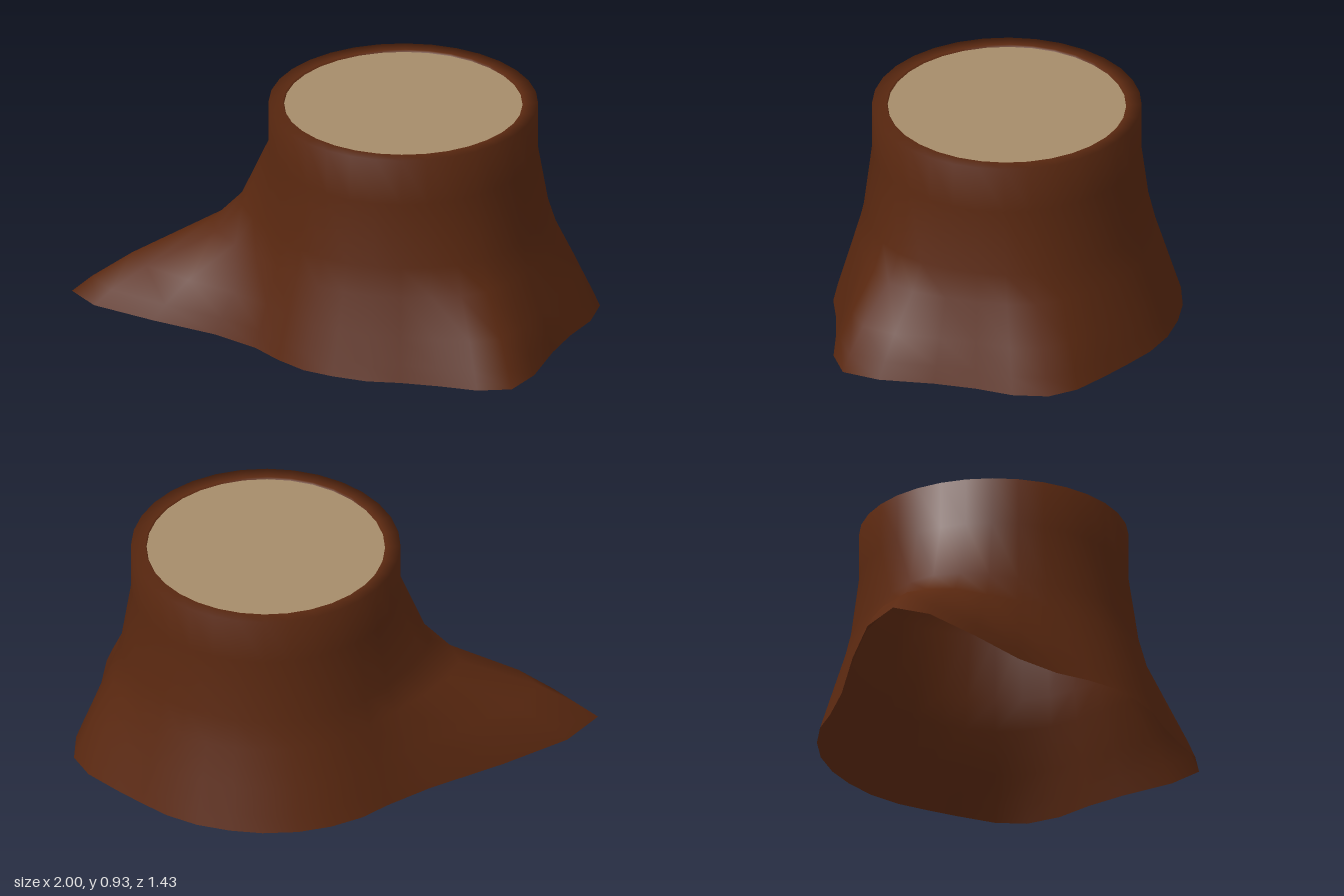
import * as THREE from 'three';

const CENTRE_X = 0.2, RADIUS = 0.55, HEIGHT = 0.93;

// Ground outline as x, z pairs: clockwise from the back, evenly spread around the trunk
const OUTLINE = [
  [0.2, -0.715], [0.34, -0.7], [0.47, -0.66], [0.6, -0.615], [0.75, -0.555], [0.85, -0.47], [0.9, -0.33], [0.91, -0.17],
  [0.94, 0], [1, 0.22], [1, 0.38], [0.89, 0.47], [0.74, 0.525], [0.59, 0.59], [0.47, 0.655], [0.33, 0.695],
  [0.2, 0.715], [0.06, 0.695], [-0.08, 0.655], [-0.29, 0.645], [-0.57, 0.68], [-0.85, 0.7], [-1, 0.64], [-0.95, 0.44],
  [-0.78, 0.18], [-0.57, -0.1], [-0.46, -0.28], [-0.4, -0.4], [-0.31, -0.51], [-0.2, -0.6], [-0.07, -0.665], [0.06, -0.7],
];

// Cross-sections from the inner lip down: height, trunk radius,
// spread toward the ground outline on plain sides, and on roots
const RINGS = [
  [0.92, 0.485, 0, 0],
  [HEIGHT, 0.492, 0, 0],
  [HEIGHT, RADIUS, 0, 0],
  [0.73, RADIUS, 0, 0],
  [0.46, RADIUS, 0.21, 0.15],
  [0.34, RADIUS, 0.38, 0.3],
  [0.18, RADIUS, 0.67, 0.7],
  [0.07, RADIUS, 0.87, 0.9],
  [0, RADIUS, 1, 1],
];

function barkGeometry() {
  const n = OUTLINE.length, positions = [], indices = [];
  RINGS.forEach(([y, radius, plain, root], k) => {
    OUTLINE.forEach(([bx, bz], i) => {
      const angle = (i / n) * Math.PI * 2;
      const reach = Math.hypot(bx - CENTRE_X, bz);
      const rootness = THREE.MathUtils.clamp((reach - 0.715) / 0.2, 0, 1);
      const spread = THREE.MathUtils.lerp(plain, root, rootness);
      positions.push(
        THREE.MathUtils.lerp(CENTRE_X + Math.sin(angle) * radius, bx, spread),
        y,
        THREE.MathUtils.lerp(-Math.cos(angle) * radius, bz, spread),
      );
      if (k === RINGS.length - 1) return;
      const a = k * n + i, b = k * n + (i + 1) % n;
      indices.push(a, b, a + n, b, b + n, a + n);
    });
  });
  const geometry = new THREE.BufferGeometry();
  geometry.setAttribute('position', new THREE.Float32BufferAttribute(positions, 3));
  geometry.setIndex(indices);
  geometry.computeVertexNormals();
  return geometry;
}

export function createModel() {
  const bark = new THREE.MeshStandardMaterial({ color: 0x5a2810, side: THREE.DoubleSide });
  bark.name = 'bark brown';
  const wood = new THREE.MeshStandardMaterial({ color: 0xa68c6a, side: THREE.DoubleSide });
  wood.name = 'cut wood tan';

  const model = new THREE.Group();
  model.name = 'treeStump';

  // Hollow trunk flaring into roots, open underneath
  const trunk = new THREE.Mesh(barkGeometry(), bark);
  trunk.name = 'barkTrunk';

  // Sawn face just inside the bark lip
  const cut = new THREE.Mesh(new THREE.CircleGeometry(0.488, OUTLINE.length), wood);
  cut.name = 'cutFace';
  cut.rotation.x = -Math.PI / 2;
  cut.position.set(CENTRE_X, 0.922, 0);

  model.add(trunk, cut);
  return model;
}
